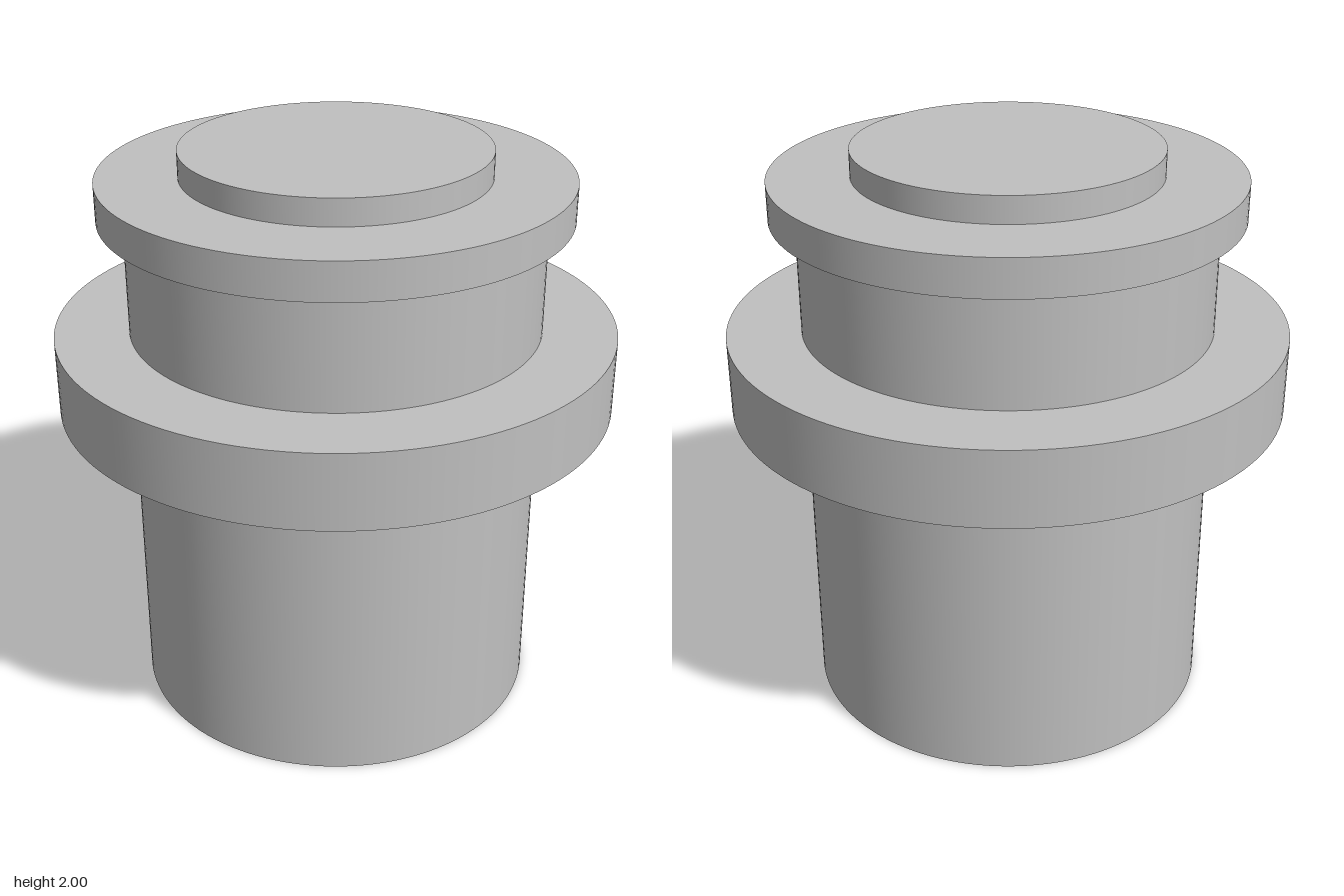
import * as THREE from 'three';

const SEGMENTS = 128;

export function createModel() {
  const model = new THREE.Group();
  model.name = 'flangedPlug';
  const grey = new THREE.MeshStandardMaterial({ color: 0xc0c0c0 });
  grey.name = 'plain grey';

  // Upright disc or cylinder between two heights
  function addRound(name, radius, bottom, top) {
    const geometry = new THREE.CylinderGeometry(radius, radius, top - bottom, SEGMENTS);
    const mesh = new THREE.Mesh(geometry, grey);
    mesh.name = name;
    mesh.position.y = (bottom + top) / 2;
    model.add(mesh);
  }

  addRound('body', 0.711, 0, 1.78); // main shaft, running through the flange
  addRound('flange', 0.965, 1.114, 1.379); // wide middle ring
  addRound('topCollar', 0.797, 1.78, 1.909); // rim at the head
  addRound('cap', 0.522, 1.909, 2); // raised disc on top

  return model;
}
